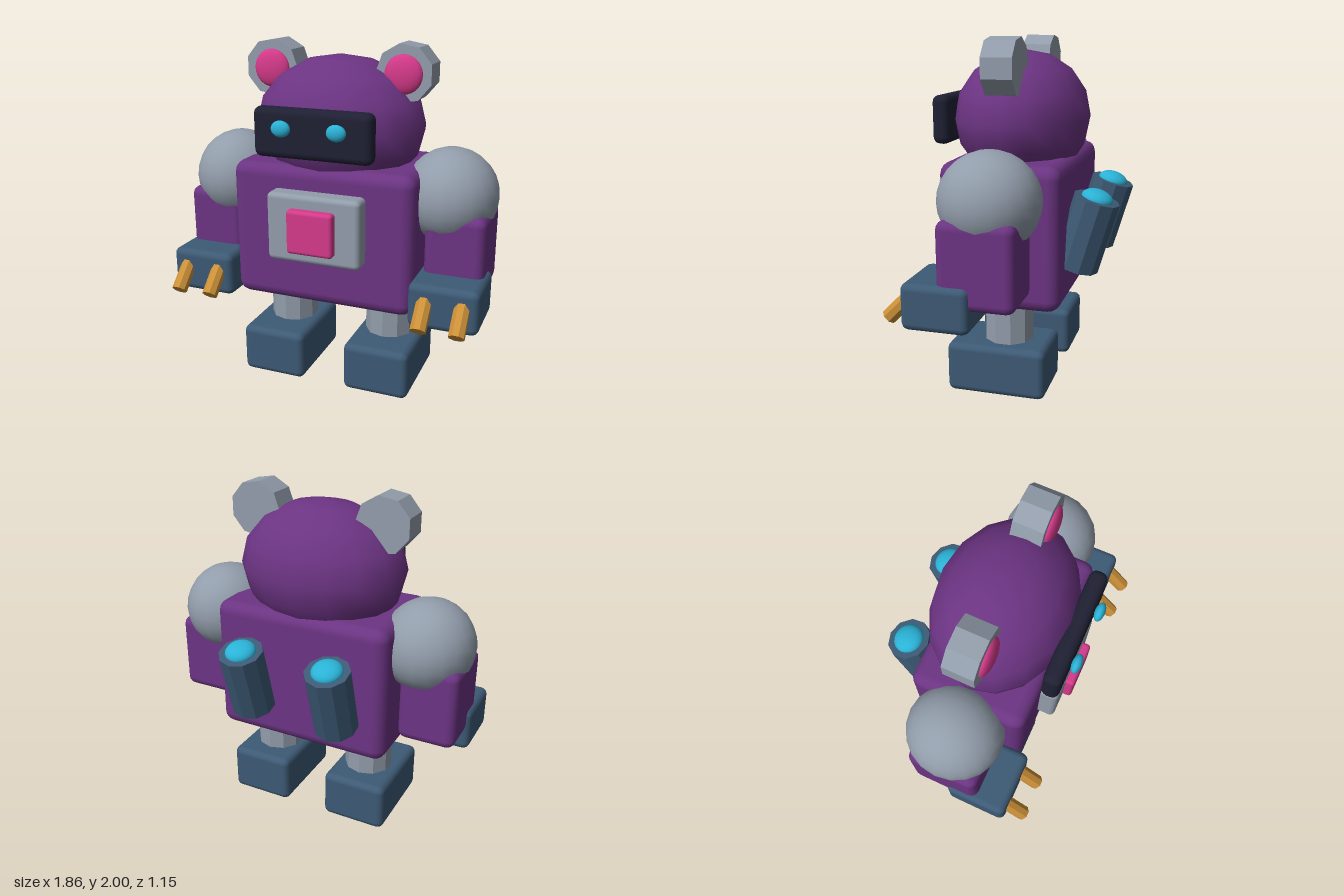
import * as THREE from 'three';
import { RoundedBoxGeometry } from 'three/addons/geometries/RoundedBoxGeometry.js';

const material = (name, color, flatShading = false) => {
  const m = new THREE.MeshStandardMaterial({ color, flatShading });
  m.name = name;
  return m;
};

export function createModel() {
  const purple = material('purple', 0x6c3483);
  const grey = material('grey', 0x929dab);
  const slate = material('slate blue', 0x3d5a75);
  const pink = material('pink', 0xd63a8b);
  const cyan = material('cyan', 0x2ab2d6);
  const dark = material('dark navy', 0x1f2033);
  const gold = material('gold', 0xcc9038);

  const model = new THREE.Group();
  model.name = 'robot';

  const add = (name, geometry, mat, x, y, z, parent = model) => {
    const mesh = new THREE.Mesh(geometry, mat);
    mesh.name = name;
    mesh.position.set(x, y, z);
    parent.add(mesh);
    return mesh;
  };

  // Rounded block given by its min and max corners
  const block = (name, mat, min, max, radius, parent) => {
    const s = max.map((v, i) => v - min[i]);
    const c = max.map((v, i) => (v + min[i]) / 2);
    return add(name, new RoundedBoxGeometry(...s, 2, radius), mat, ...c, parent);
  };

  const ellipsoid = (name, mat, pos, radii, parent, w = 20, h = 14) =>
    add(name, new THREE.SphereGeometry(1, w, h).scale(...radii), mat, ...pos, parent);

  // Faceted cylinder with crisp sides
  const prism = (radius, length, sides, start = 0) => {
    const g = new THREE.CylinderGeometry(radius, radius, length, sides, 1, false, start).toNonIndexed();
    g.computeVertexNormals();
    return g;
  };

  // Torso and chest
  block('torso', purple, [-0.54, 0.53, -0.295], [0.54, 1.34, 0.385], 0.07);
  block('chestPanel', grey, [-0.275, 0.815, 0.34], [0.275, 1.21, 0.485], 0.03);
  block('chestButton', pink, [-0.135, 0.885, 0.44], [0.135, 1.135, 0.535], 0.02);

  // Head and visor
  ellipsoid('head', purple, [0, 1.537, 0.045], [0.5, 0.39, 0.39], model, 16, 8);
  block('visor', dark, [-0.34, 1.405, 0.39], [0.34, 1.68, 0.49], 0.04);

  for (const side of [-1, 1]) {
    const half = new THREE.Group();
    half.name = side > 0 ? 'leftSide' : 'rightSide';
    model.add(half);

    // Eye
    ellipsoid('eye', cyan, [side * 0.157, 1.577, 0.517], [0.055, 0.045, 0.028], half);

    // Ear: nine-sided disc with one corner pointing inward
    const earGeometry = prism(0.162, 0.172, 9, -side * Math.PI / 2).rotateX(Math.PI / 2);
    add('ear', earGeometry, grey, side * 0.393, 1.842, 0.04, half);
    ellipsoid('innerEar', pink, [side * 0.39, 1.838, 0.125], [0.108, 0.108, 0.04], half);

    // Arm
    ellipsoid('shoulder', grey, [side * 0.66, 1.175, 0.043], [0.268, 0.27, 0.277], half);
    const mirrorBlock = (name, mat, x0, x1, y0, y1, z0, z1, r) =>
      block(name, mat, [Math.min(side * x0, side * x1), y0, z0],
        [Math.max(side * x0, side * x1), y1, z1], r, half);
    mirrorBlock('arm', purple, 0.565, 0.903, 0.645, 1.115, -0.155, 0.265, 0.05);
    mirrorBlock('fist', slate, 0.535, 0.927, 0.525, 0.78, 0.08, 0.453, 0.04);
    for (const x of [0.63, 0.836]) {
      const finger = add('finger', prism(0.045, 0.2, 8, Math.PI / 8), gold, side * x, 0.631, 0.479, half);
      finger.rotation.x = -Math.PI / 4;
    }

    // Leg and foot
    add('leg', prism(0.143, 0.32, 10), grey, side * 0.316, 0.42, 0.045, half);
    mirrorBlock('foot', slate, 0.128, 0.522, 0, 0.293, -0.21, 0.363, 0.04);

    // Back thruster, leaning away from the torso
    const thruster = new THREE.Group();
    thruster.name = 'thruster';
    thruster.position.set(side * 0.272, 0.938, -0.39);
    thruster.rotation.x = -0.285;
    half.add(thruster);
    add('thrusterTube', prism(0.13, 0.41, 10), slate, 0, 0, 0, thruster);
    ellipsoid('thrusterCap', cyan, [0, 0.205, 0], [0.09, 0.05, 0.09], thruster);
  }

  return model;
}
